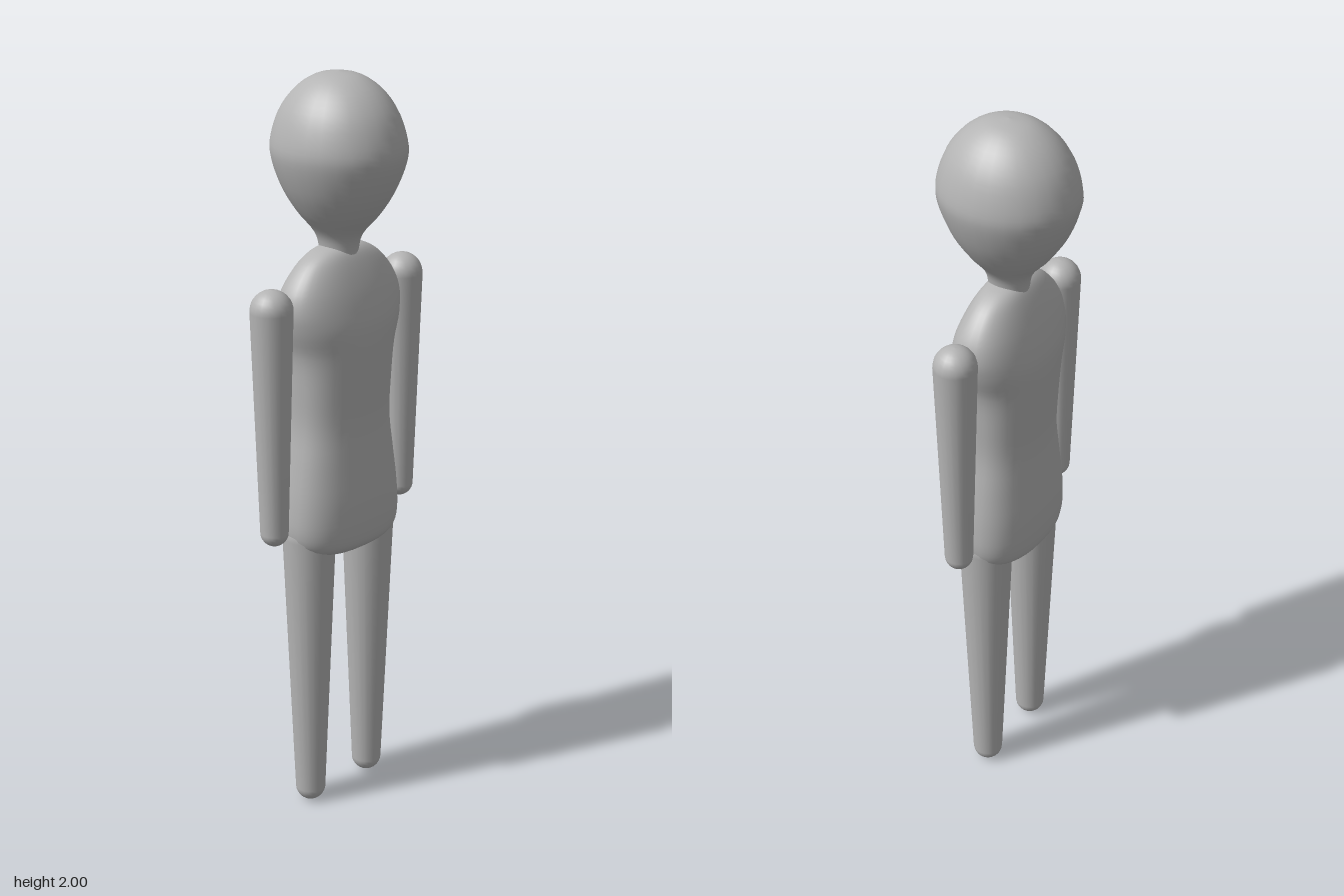
import * as THREE from 'three';

const skin = new THREE.MeshStandardMaterial({ color: 0xb4b4b4 });
skin.name = 'plain grey';

// Smooth closed body from rows of [y, half width, half depth], bottom to top
function bodyFromSections(sections, around, power, rows) {
  const curve = new THREE.CatmullRomCurve3(
    sections.map(([y, w, d]) => new THREE.Vector3(w, y, d)), false, 'centripetal');
  const positions = [], index = [];
  const rounded = (v) => Math.sign(v) * Math.abs(v) ** (2 / power);
  for (let j = 0; j <= rows; j++) {
    const p = curve.getPoint(j / rows);
    for (let i = 0; i < around; i++) {
      const a = (i / around) * Math.PI * 2;
      positions.push(p.x * rounded(Math.sin(a)), p.y, p.z * rounded(Math.cos(a)));
      if (j < rows) {
        const k = j * around + i, n = j * around + (i + 1) % around;
        index.push(k, n, n + around, k, n + around, k + around);
      }
    }
  }
  // Caps at both ends
  const bottom = positions.length / 3, top = bottom + 1, last = rows * around;
  positions.push(0, sections[0][0], 0, 0, sections[sections.length - 1][0], 0);
  for (let i = 0; i < around; i++) {
    const n = (i + 1) % around;
    index.push(bottom, n, i, top, last + i, last + n);
  }
  const geometry = new THREE.BufferGeometry();
  geometry.setAttribute('position', new THREE.Float32BufferAttribute(positions, 3));
  geometry.setIndex(index);
  geometry.computeVertexNormals();
  return geometry;
}

// Tapered limb with round ends; low and high are the sphere centres
function limb(low, lowRadius, high, highRadius) {
  const points = [], steps = 8;
  const tilt = Math.asin((highRadius - lowRadius) / (high - low));
  for (let i = 0; i <= steps; i++) {
    const a = -Math.PI / 2 + (i / steps) * (Math.PI / 2 - tilt);
    points.push(new THREE.Vector2(Math.max(0, lowRadius * Math.cos(a)), low + lowRadius * Math.sin(a)));
  }
  for (let i = 0; i <= steps; i++) {
    const a = -tilt + (i / steps) * (Math.PI / 2 + tilt);
    points.push(new THREE.Vector2(Math.max(0, highRadius * Math.cos(a)), high + highRadius * Math.sin(a)));
  }
  return new THREE.LatheGeometry(points, 20);
}

export function createModel() {
  const model = new THREE.Group();
  model.name = 'mannequin';
  const add = (name, geometry, x = 0) => {
    const mesh = new THREE.Mesh(geometry, skin);
    mesh.name = name;
    mesh.position.x = x;
    model.add(mesh);
    return mesh;
  };

  // Torso: hips, waist, chest and sloping shoulders
  add('torso', bodyFromSections([
    [0.738, 0.07, 0.045], [0.752, 0.125, 0.08], [0.775, 0.168, 0.105],
    [0.81, 0.181, 0.112], [0.89, 0.178, 0.114], [1.0, 0.163, 0.107],
    [1.1, 0.149, 0.102], [1.2, 0.151, 0.106], [1.3, 0.159, 0.112],
    [1.37, 0.182, 0.112], [1.42, 0.19, 0.102], [1.47, 0.177, 0.087],
    [1.53, 0.128, 0.062], [1.558, 0.08, 0.043], [1.57, 0.03, 0.018],
  ], 36, 2.35, 56));

  // Egg-shaped head running down into the neck
  const profile = new THREE.SplineCurve([
    [0.052, 1.5], [0.054, 1.56], [0.068, 1.6], [0.112, 1.65], [0.151, 1.71],
    [0.178, 1.78], [0.18, 1.83], [0.157, 1.9], [0.115, 1.955], [0.06, 1.99], [0, 2],
  ].map(([r, y]) => new THREE.Vector2(r, y)));
  const points = profile.getPoints(36);
  points[36].x = 0;
  add('headAndNeck', new THREE.LatheGeometry(points, 28)).scale.x = 0.89;

  // Arms and legs, mirrored
  for (const [side, s] of [['left', 1], ['right', -1]]) {
    add(side + 'Arm', limb(0.846, 0.037, 1.44, 0.055), s * 0.238);
    add(side + 'Leg', limb(0.042, 0.041, 0.8, 0.071), s * 0.112);
  }
  return model;
}
